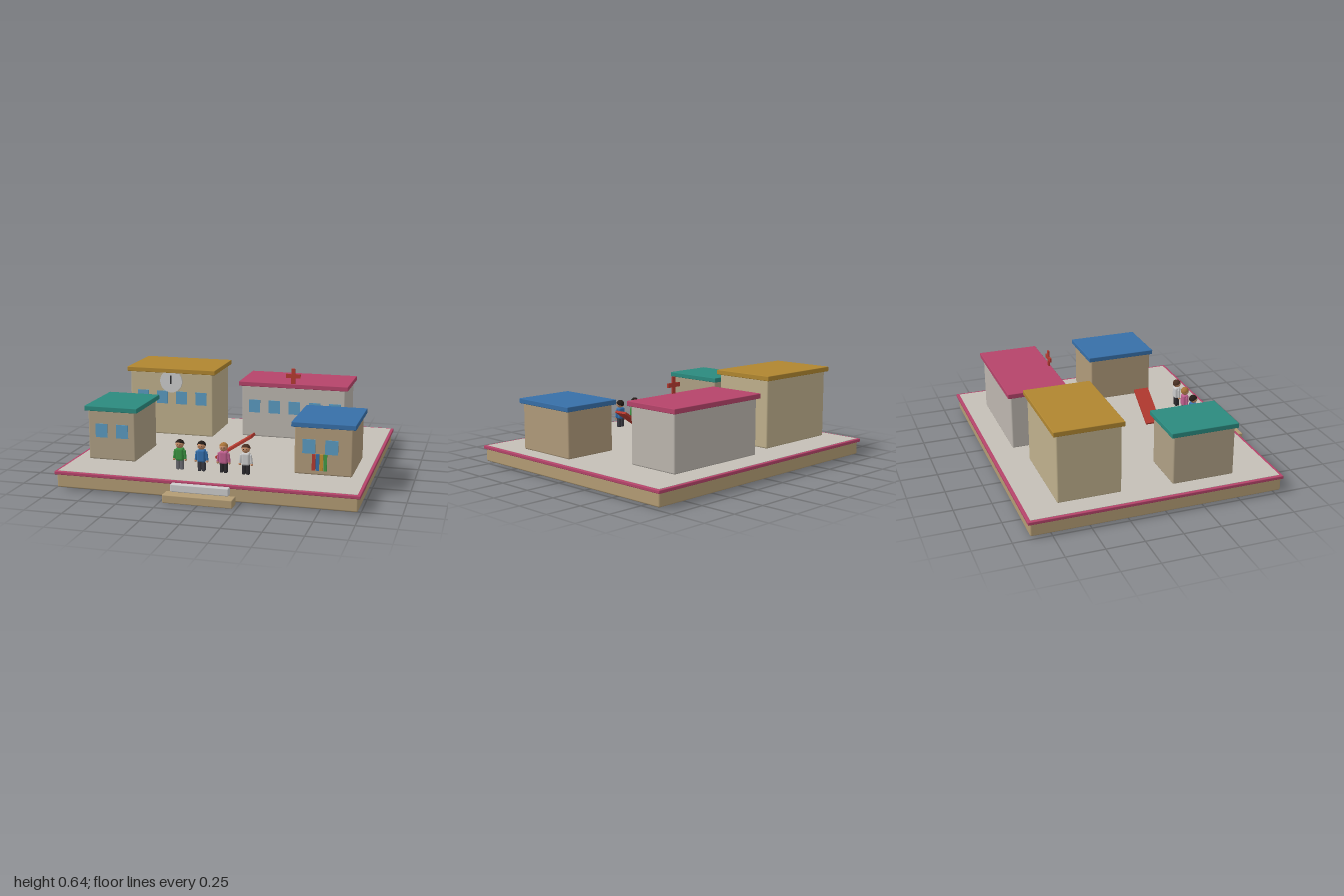
import * as THREE from 'three';
import { RoundedBoxGeometry } from 'three/addons/geometries/RoundedBoxGeometry.js';

const mat = (color) => new THREE.MeshStandardMaterial({ color });
const WINDOW = mat(0x5a9ac0), RED = mat(0xb53a30), DARK = mat(0x2b2b2e), SKIN = mat(0xc98f68);
const TAN = mat(0xb39c74), ROSE = mat(0xb5446a), PALE = mat(0xcccccc);

function add(parent, name, geometry, material, x = 0, y = 0, z = 0) {
  const mesh = new THREE.Mesh(geometry, material);
  mesh.name = name;
  mesh.position.set(x, y, z);
  parent.add(mesh);
  return mesh;
}

// Box given by its extents; softened edges when radius > 0
function block(parent, name, material, [x0, x1], [y0, y1], [z0, z1], radius = 0) {
  const w = x1 - x0, h = y1 - y0, d = z1 - z0;
  const geometry = radius ? new RoundedBoxGeometry(w, h, d, 2, radius) : new THREE.BoxGeometry(w, h, d);
  return add(parent, name, geometry, material, (x0 + x1) / 2, (y0 + y1) / 2, (z0 + z1) / 2);
}

// Walls, overhanging flat roof and a row of front windows
function building(parent, name, o) {
  const g = new THREE.Group();
  g.name = name;
  parent.add(g);
  block(g, 'walls', mat(o.wall), o.x, [0.13, o.top + 0.005], o.z, 0.01);
  const e = 0.02;
  block(g, 'roof', mat(o.roof), [o.x[0] - e, o.x[1] + e], [o.top, o.top + 0.033], [o.z[0] - e, o.z[1] + 0.016], 0.004);
  for (const x of o.windows) {
    add(g, 'window', new THREE.BoxGeometry(0.083, 0.093, 0.012), WINDOW, x, o.windowY, o.z[1]);
  }
  return g;
}

// Small standing figure facing +z
function person(parent, x, shirt, trousers, hair) {
  const g = new THREE.Group();
  g.name = 'person';
  g.position.set(x, 0.13, 0.58);
  parent.add(g);
  const cloth = mat(shirt), pants = mat(trousers);
  add(g, 'torso', new RoundedBoxGeometry(0.056, 0.085, 0.045, 3, 0.014), cloth, 0, 0.103, 0);
  add(g, 'neck', new THREE.CylinderGeometry(0.009, 0.009, 0.02, 12), SKIN, 0, 0.147, 0);
  add(g, 'head', new THREE.SphereGeometry(0.027, 20, 14), SKIN, 0, 0.17, 0.002);
  // Hair cap tipped towards the back of the head
  const cap = new THREE.SphereGeometry(0.029, 20, 10, 0, Math.PI * 2, 0, Math.PI * 0.5);
  const hairMat = mat(hair);
  hairMat.side = THREE.DoubleSide;
  add(g, 'hair', cap, hairMat, 0, 0.172, 0).rotation.x = -0.45;
  for (const s of [-1, 1]) {
    add(g, 'leg', new RoundedBoxGeometry(0.022, 0.075, 0.028, 2, 0.006), pants, s * 0.0135, 0.0375, 0);
    add(g, 'arm', new THREE.CapsuleGeometry(0.0085, 0.05, 4, 10), cloth, s * 0.035, 0.101, 0.003).rotation.z = s * 0.12;
    add(g, 'hand', new THREE.SphereGeometry(0.0088, 10, 8), SKIN, s * 0.039, 0.068, 0.005);
    add(g, 'eye', new THREE.SphereGeometry(0.003, 8, 6), DARK, s * 0.009, 0.171, 0.027);
  }
}

export function createModel() {
  const model = new THREE.Group();
  model.name = 'campus';

  // Plinth, coloured rim, paving and entrance steps
  block(model, 'plinth', TAN, [-0.985, 0.985], [0.01, 0.105], [-0.885, 0.795], 0.01);
  block(model, 'rim', ROSE, [-1, 1], [0.097, 0.119], [-0.9, 0.805], 0.005);
  block(model, 'paving', mat(0xc4bfb6), [-0.98, 0.98], [0.1, 0.121], [-0.88, 0.785]);
  block(model, 'upperStep', PALE, [-0.195, 0.185], [0.058, 0.108], [0.77, 0.843], 0.006);
  block(model, 'lowerStep', TAN, [-0.23, 0.225], [0, 0.054], [0.813, 0.9], 0.006);

  // Clock building
  const clockHouse = building(model, 'clockBuilding', {
    x: [-0.86, -0.235], z: [-0.675, -0.256], top: 0.59, wall: 0xbfb08c, roof: 0xb08630,
    windows: [-0.765, -0.618, -0.471, -0.324], windowY: 0.408,
  });
  add(clockHouse, 'clockFace', new THREE.CylinderGeometry(0.083, 0.083, 0.018, 40), PALE, -0.546, 0.53, -0.25)
    .rotation.x = Math.PI / 2;
  block(clockHouse, 'clockHand', DARK, [-0.55, -0.542], [0.51, 0.572], [-0.243, -0.235]);

  // Clinic with a cross standing at the roof edge
  const clinic = building(model, 'clinic', {
    x: [-0.045, 0.71], z: [-0.738, -0.361], top: 0.503, wall: 0xbcb6ae, roof: 0xb5446a,
    windows: [0.05, 0.197, 0.344, 0.491, 0.638], windowY: 0.357,
  });
  block(clinic, 'crossPost', RED, [0.319, 0.347], [0.53, 0.645], [-0.364, -0.354]);
  block(clinic, 'crossBar', RED, [0.28, 0.386], [0.578, 0.606], [-0.3645, -0.3535]);

  // Small house
  building(model, 'smallHouse', {
    x: [-0.88, -0.55], z: [0.08, 0.5], top: 0.464, wall: 0xae9f84, roof: 0x2b8a7e,
    windows: [-0.786, -0.64], windowY: 0.331,
  });

  // Library with a row of large books at the front
  const library = building(model, 'library', {
    x: [0.523, 0.898], z: [0.02, 0.48], top: 0.441, wall: 0xb09a7a, roof: 0x376fa8,
    windows: [0.617, 0.764], windowY: 0.317,
  });
  [0xb53a30, 0x376fa8, 0xc09030, 0x3f9a45].forEach((color, i) => {
    add(library, 'book', new THREE.BoxGeometry(0.021, 0.107, 0.02), mat(color), 0.65 + i * 0.0252, 0.216, 0.482);
  });

  // Sloping red board
  add(model, 'ramp', new THREE.BoxGeometry(0.292, 0.016, 0.105), RED, 0.08, 0.231, 0.287).rotation.z = 0.58;

  // Row of people
  person(model, -0.212, 0x3a9440, 0x6a6a70, 0x241c18);
  person(model, -0.065, 0x3570ae, 0x3a3a42, 0x241c18);
  person(model, 0.083, 0xc0608f, 0x2c2a2e, 0xa8743a);
  person(model, 0.23, 0xcccccc, 0x2c2a2e, 0x4a3022);

  return model;
}
